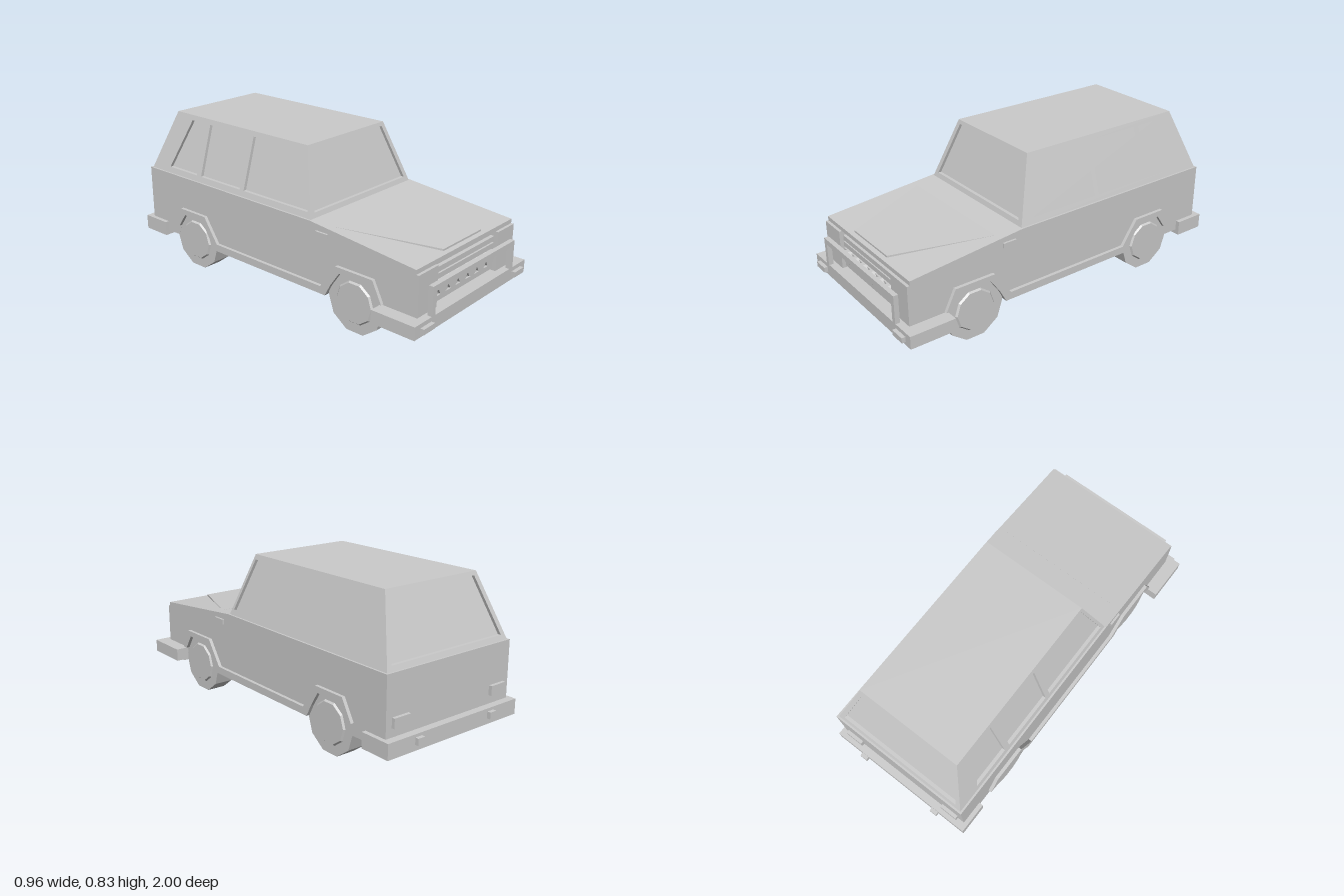
import * as THREE from 'three';

const mat = new THREE.MeshStandardMaterial({ color: 0xcccccc, flatShading: true });

function add(group, name, geometry) {
  const mesh = new THREE.Mesh(geometry, mat);
  mesh.name = name;
  group.add(mesh);
  return mesh;
}

// Box given by its limits
function box(group, name, x0, x1, y0, y1, z0, z1) {
  const g = new THREE.BoxGeometry(x1 - x0, y1 - y0, z1 - z0);
  g.translate((x0 + x1) / 2, (y0 + y1) / 2, (z0 + z1) / 2);
  return add(group, name, g);
}

// Box and its mirror image across x = 0
function boxPair(group, name, x0, x1, ...rest) {
  box(group, name + 'Left', x0, x1, ...rest);
  box(group, name + 'Right', -x1, -x0, ...rest);
}

const toShape = (pts) => new THREE.Shape(pts.map(([a, b]) => new THREE.Vector2(a, b)));

function extrude(pts, depth, holes = []) {
  const shape = toShape(pts);
  holes.forEach((h) => shape.holes.push(toShape(h)));
  return new THREE.ExtrudeGeometry(shape, { depth, bevelEnabled: false });
}

// Extrudes a (z, y) profile across x0..x1
function sideExtrude(pts, x0, x1) {
  return extrude(pts, x1 - x0).rotateY(-Math.PI / 2).translate(x1, 0, 0);
}

// Moves every vertex by a rule
function warp(geometry, rule) {
  const p = geometry.attributes.position;
  for (let i = 0; i < p.count; i++) p.setXYZ(i, ...rule(p.getX(i), p.getY(i), p.getZ(i)));
  geometry.computeVertexNormals();
  return geometry;
}

// Tapered cabin: limits at height y
const Y0 = 0.5, Y1 = 0.83, RECESS = 0.018;
const at = (a, b) => (y) => a + ((b - a) * (y - Y0)) / (Y1 - Y0);
const halfW = at(0.395, 0.295), frontZ = at(0.29, 0.18), backZ = at(-0.93, -0.8);

function buildCabin(car) {
  const cabin = new THREE.Group();
  cabin.name = 'cabin';
  car.add(cabin);

  // Recessed glass core
  add(cabin, 'glass', warp(new THREE.BoxGeometry(2, Y1 - Y0 - 0.005, 2), (x, y, z) => {
    const h = y > 0 ? Y1 - 0.005 : Y0;
    return [Math.sign(x) * (halfW(h) - RECESS), h, z > 0 ? frontZ(h) - RECESS : backZ(h) + RECESS];
  }));
  box(cabin, 'roof', -0.295, 0.295, 0.815, Y1, -0.8, 0.18);

  // Front and rear window frames
  const endOuter = [[-0.395, Y0], [0.395, Y0], [0.295, Y1], [-0.295, Y1]];
  const endHole = [[-0.36, 0.525], [0.36, 0.525], [0.275, 0.81], [-0.275, 0.81]];
  add(cabin, 'windscreenFrame', warp(extrude(endOuter, 1, [endHole]),
    (x, y, d) => [x, y, frontZ(y) - RECESS * (1 - d)]));
  add(cabin, 'rearWindowFrame', warp(extrude(endOuter, 1, [endHole]),
    (x, y, d) => [-x, y, backZ(y) + RECESS * (1 - d)]));

  // Side frames with three windows each
  const sideOuter = [[0.29, Y0], [0.18, Y1], [-0.8, Y1], [-0.93, Y0]];
  const sideHoles = [
    [[0.262, 0.53], [0.172, 0.803], [-0.19, 0.803], [-0.19, 0.53]],
    [[-0.22, 0.53], [-0.22, 0.803], [-0.525, 0.803], [-0.525, 0.53]],
    [[-0.56, 0.53], [-0.56, 0.803], [-0.67, 0.803], [-0.785, 0.53]],
  ];
  for (const s of [1, -1]) {
    const flip = (pts) => pts.map(([z, y]) => [-s * z, y]);
    add(cabin, s > 0 ? 'sideFrameLeft' : 'sideFrameRight',
      warp(extrude(flip(sideOuter), 1, sideHoles.map(flip)),
        (a, y, d) => [s * (halfW(y) - RECESS * (1 - d)), y, -s * a]));
  }
}

function buildWheels(car) {
  for (const [end, z] of [['front', 0.58], ['rear', -0.56]]) {
    for (const s of [1, -1]) {
      const wheel = new THREE.Group();
      wheel.name = end + (s > 0 ? 'LeftWheel' : 'RightWheel');
      // Cylinder axis along x, flat side down
      const tyre = new THREE.CylinderGeometry(0.165, 0.165, 0.105, 10).rotateY(Math.PI / 10);
      add(wheel, 'tyre', tyre.rotateZ(-Math.PI / 2).rotateX(Math.PI / 2));
      const hub = new THREE.CylinderGeometry(0.105, 0.115, 0.012, 10).rotateY(Math.PI / 10);
      add(wheel, 'hubcap', hub.rotateZ(-Math.PI / 2).rotateX(Math.PI / 2).translate(0.056, 0, 0));
      wheel.position.set(s * 0.352, 0.157, z);
      if (s < 0) wheel.rotation.y = Math.PI;
      car.add(wheel);
    }
  }
}

function buildFront(car) {
  const front = new THREE.Group();
  front.name = 'frontEnd';
  car.add(front);

  boxPair(front, 'headlampPanel', 0.255, 0.405, 0.2, 0.415, 0.89, 0.94);
  // Grille slats
  for (const y of [0.215, 0.25, 0.29, 0.328, 0.363]) box(front, 'grilleSlat', -0.255, 0.255, y, y + 0.027, 0.89, 0.92);
  // Row of round lamps
  for (let i = 0; i < 6; i++) {
    const lamp = new THREE.CylinderGeometry(0.037, 0.037, 0.04, 9).rotateX(Math.PI / 2);
    add(front, 'lamp', lamp.translate((i - 2.5) * 0.081, 0.29, 0.918));
  }
  // Guard bar standing on the bumper
  const bar = extrude([[-0.35, 0.2], [-0.35, 0.355], [0.35, 0.355], [0.35, 0.2], [0.325, 0.2],
    [0.325, 0.325], [-0.325, 0.325], [-0.325, 0.2]], 0.025);
  add(front, 'guardBar', bar.translate(0, 0, 0.957));

  // Bumper wrapping round the corners, chin and indicators
  box(front, 'frontBumper', -0.478, 0.478, 0.137, 0.205, 0.9, 0.98);
  boxPair(front, 'frontBumperEnd', 0.395, 0.478, 0.137, 0.205, 0.735, 0.9);
  box(front, 'chin', -0.41, 0.41, 0.115, 0.14, 0.78, 0.92);
  boxPair(front, 'bumperLamp', 0.35, 0.435, 0.155, 0.183, 0.97, 1);

  // Raised bonnet panel fading into the bonnet at the back
  const bulge = extrude([[-0.36, -0.42], [-0.16, -0.9], [0.16, -0.9], [0.36, -0.42]], 1).rotateX(-Math.PI / 2);
  add(front, 'bonnetBulge', warp(bulge, (x, y, z) =>
    [x, y > 0.5 ? 0.488 - (z - 0.42) * 0.079 : 0.42, z]));
}

function buildRear(car) {
  const rear = new THREE.Group();
  rear.name = 'rearEnd';
  car.add(rear);
  box(rear, 'rearBumper', -0.428, 0.428, 0.12, 0.2, -0.98, -0.81);
  boxPair(rear, 'bumperBlock', 0.22, 0.262, 0.15, 0.185, -1, -0.97);
  boxPair(rear, 'tailLamp', 0.27, 0.37, 0.245, 0.295, -0.958, -0.93);
}

export function createModel() {
  const car = new THREE.Group();
  car.name = 'offRoadCar';

  // Lower body with wheel wells cut right through
  const wells = [[0.74, 0.145], [0.72, 0.21], [0.667, 0.29], [0.496, 0.29], [0.44, 0.21], [0.405, 0.145],
    [-0.405, 0.145], [-0.44, 0.21], [-0.49, 0.288], [-0.635, 0.288], [-0.69, 0.21], [-0.72, 0.145]];
  const profile = [[0.9, 0.145], ...wells, [-0.94, 0.145], [-0.94, 0.5], [0.29, 0.5],
    [0.925, 0.438], [0.925, 0.415], [0.9, 0.415]];
  add(car, 'body', sideExtrude(profile, -0.405, 0.405));

  // Arch and sill trim
  const trimTop = [[-0.73, 0.21], [-0.667, 0.32], [-0.47, 0.32], [-0.378, 0.185],
    [0.375, 0.185], [0.47, 0.32], [0.695, 0.32], [0.75, 0.21]];
  const trim = [...wells.slice(1, -1), ...trimTop];
  add(car, 'archTrimLeft', sideExtrude(trim, 0.395, 0.423));
  add(car, 'archTrimRight', sideExtrude(trim, -0.423, -0.395));

  boxPair(car, 'sideMarker', 0.4, 0.416, 0.435, 0.462, 0.335, 0.41);

  buildCabin(car);
  buildFront(car);
  buildRear(car);
  buildWheels(car);
  return car;
}
